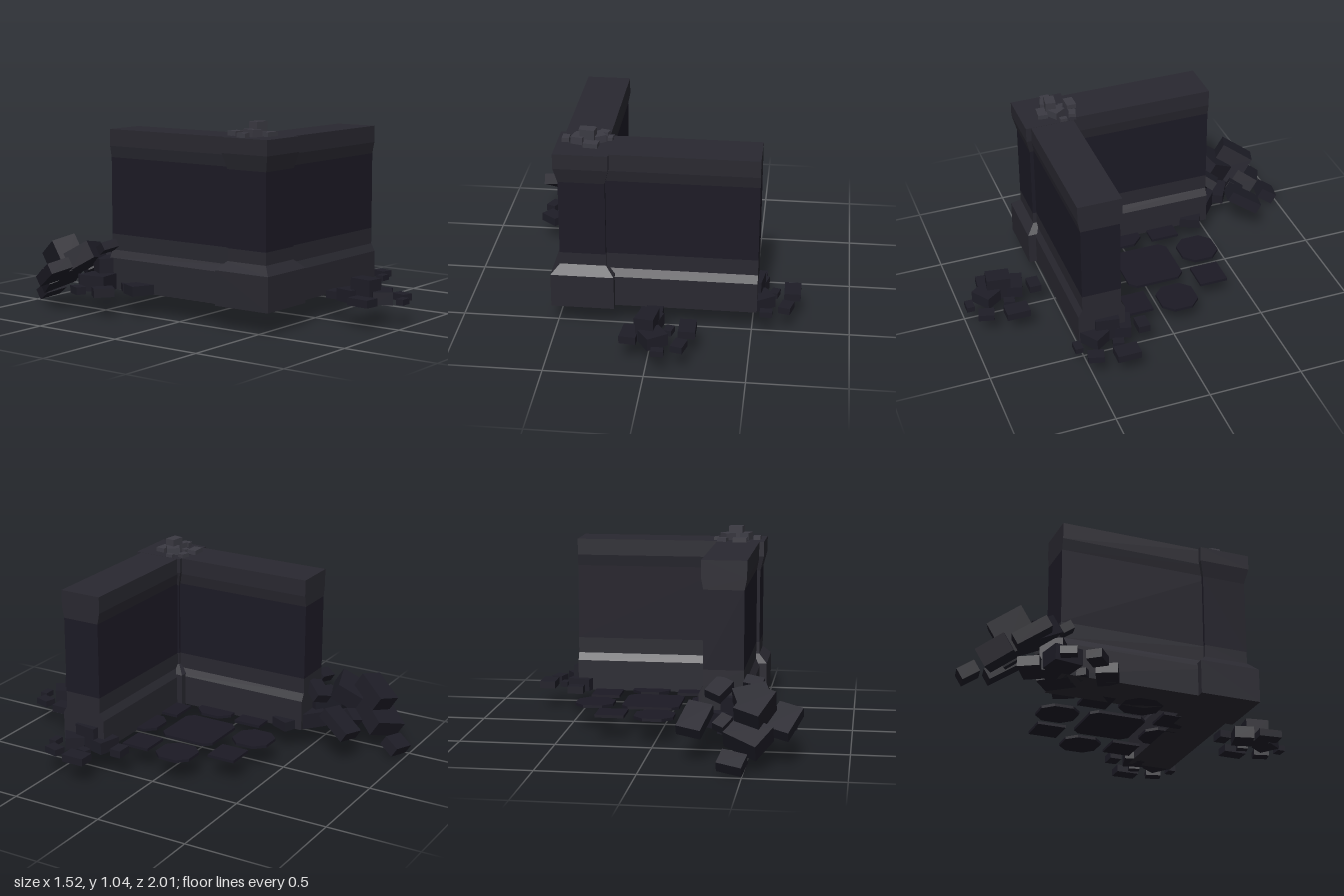
import * as THREE from 'three';

const GROUND = 0.115;
const mat = (color) => new THREE.MeshStandardMaterial({ color, flatShading: true });
const stone = mat(0x292830);
const darkStone = mat(0x1c1a25);
const rubbleStone = mat(0x1e1d27);
const paleStone = mat(0x3b3a43);

function add(parent, name, geometry, material) {
  const mesh = new THREE.Mesh(geometry, material);
  mesh.name = name;
  parent.add(mesh);
  return mesh;
}

// Half-width / height profiles of the three courses: plinth, shaft, cap
const wallCourses = [
  ['Plinth', [[0.125, GROUND], [0.125, 0.28], [0.103, 0.32], [0.103, 0.405]], stone],
  ['Shaft', [[0.103, 0.405], [0.103, 0.81]], darkStone],
  ['Cap', [[0.103, 0.81], [0.115, 0.87], [0.115, 0.958]], stone],
];
const pillarCourses = [
  ['Plinth', [[0.162, GROUND], [0.162, 0.295], [0.118, 0.34], [0.118, 0.405]], stone],
  ['Shaft', [[0.118, 0.405], [0.118, 0.8]], darkStone],
  ['Cap', [[0.118, 0.8], [0.138, 0.88], [0.138, 0.959]], stone],
];

// Straight wall, its profile extruded along local +z
function makeWall(name, length) {
  const wall = new THREE.Group();
  wall.name = name;
  for (const [part, side, material] of wallCourses) {
    const mirrored = side.map(([w, y]) => [-w, y]).reverse();
    const shape = new THREE.Shape([...side, ...mirrored].map(([x, y]) => new THREE.Vector2(x, y)));
    add(wall, name + part, new THREE.ExtrudeGeometry(shape, { depth: length, bevelEnabled: false }), material);
  }
  return wall;
}

// Square corner pillar, a four-sided lathe
function makePillar() {
  const pillar = new THREE.Group();
  pillar.name = 'cornerPillar';
  for (const [part, side, material] of pillarCourses) {
    const closed = [[0, side[0][1]], ...side, [0, side[side.length - 1][1]]];
    const points = closed.map(([w, y]) => new THREE.Vector2(w * Math.SQRT2, y));
    add(pillar, 'pillar' + part, new THREE.LatheGeometry(points, 4).rotateY(Math.PI / 4), material);
  }
  return pillar;
}

// Blocks of a rubble heap: x, z, width, height, depth, turn
const blocks = [
  [-0.02, -0.17, 0.085, 0.04, 0.063, 0],
  [-0.037, -0.058, 0.125, 0.065, 0.105, -0.26],
  [-0.12, 0.053, 0.085, 0.04, 0.125, -0.1],
  [0.0, 0.095, 0.115, 0.065, 0.1, 0.6],
  [0.16, -0.026, 0.085, 0.04, 0.125, 0],
  [0.069, -0.01, 0.043, 0.03, 0.058, -0.26],
  [0.132, 0.132, 0.062, 0.035, 0.083, -0.26],
  [0.032, 0.196, 0.063, 0.03, 0.042, 0],
  [-0.035, 0.02, 0.09, 0.125, 0.125, -0.15],
];

function makeRubble(name, position, scale, turn, tilt, material) {
  const heap = new THREE.Group();
  heap.name = name;
  for (const [x, z, w, h, d, r] of blocks) {
    const block = add(heap, 'rubbleBlock', new THREE.BoxGeometry(w, h, d), material);
    block.position.set(x, h / 2, z);
    block.rotation.y = r;
  }
  heap.position.set(...position);
  heap.scale.setScalar(scale);
  heap.rotation.set(tilt, turn, 0);
  return heap;
}

// Floor slabs: x, z, half size, corner cut
const tiles = [
  [0.01, -0.325, 0.103, 0.053], [0.24, -0.3, 0.077, 0],
  [0.06, -0.018, 0.153, 0.035], [0.365, -0.068, 0.101, 0.051],
  [0.34, 0.16, 0.077, 0], [-0.245, 0.035, 0.104, 0.053],
  [-0.22, -0.197, 0.077, 0], [-0.118, 0.262, 0.077, 0],
  [0.11, 0.288, 0.101, 0.051],
];

function makeTile([x, z, s, cut]) {
  const c = s - cut;
  const outline = cut
    ? [[s, -c], [s, c], [c, s], [-c, s], [-s, c], [-s, -c], [-c, -s], [c, -s]]
    : [[s, -s], [s, s], [-s, s], [-s, -s]];
  const shape = new THREE.Shape(outline.map(([a, b]) => new THREE.Vector2(a, b)));
  const geometry = new THREE.ExtrudeGeometry(shape, { depth: 0.015, bevelEnabled: false });
  return geometry.rotateX(-Math.PI / 2).translate(x, GROUND, z);
}

export function createModel() {
  const model = new THREE.Group();
  model.name = 'ruinedWallCorner';

  // Corner pillar and the two walls meeting in it
  const pillar = makePillar();
  pillar.position.set(-0.3625, 0, 0.41);
  const frontWall = makeWall('frontWall', 0.826);
  frontWall.rotation.y = Math.PI / 2;
  frontWall.position.set(-0.3, 0, 0.405);
  const sideWall = makeWall('sideWall', 0.83);
  sideWall.position.set(-0.36, 0, -0.48);
  model.add(pillar, frontWall, sideWall);

  // Paving inside the corner
  const floor = new THREE.Group();
  floor.name = 'floorTiles';
  for (const tile of tiles) add(floor, 'floorTile', makeTile(tile), darkStone);
  model.add(floor);

  // Rubble heaps
  model.add(
    makeRubble('frontRubble', [0.034, GROUND, 0.785], 1, 0, 0, rubbleStone),
    makeRubble('endRubble', [0.542, GROUND, 0.357], 1, 0, 0, rubbleStone),
    makeRubble('backRubble', [-0.445, GROUND, -0.45], 1.3, -2.0, 0, rubbleStone),
    makeRubble('slidingRubble', [-0.485, 0.165, -0.71], 1.5, -0.26, -0.56, rubbleStone),
    makeRubble('pillarDebris', [-0.355, 0.958, 0.36], 0.6, Math.PI / 2, 0, paleStone),
  );
  return model;
}
